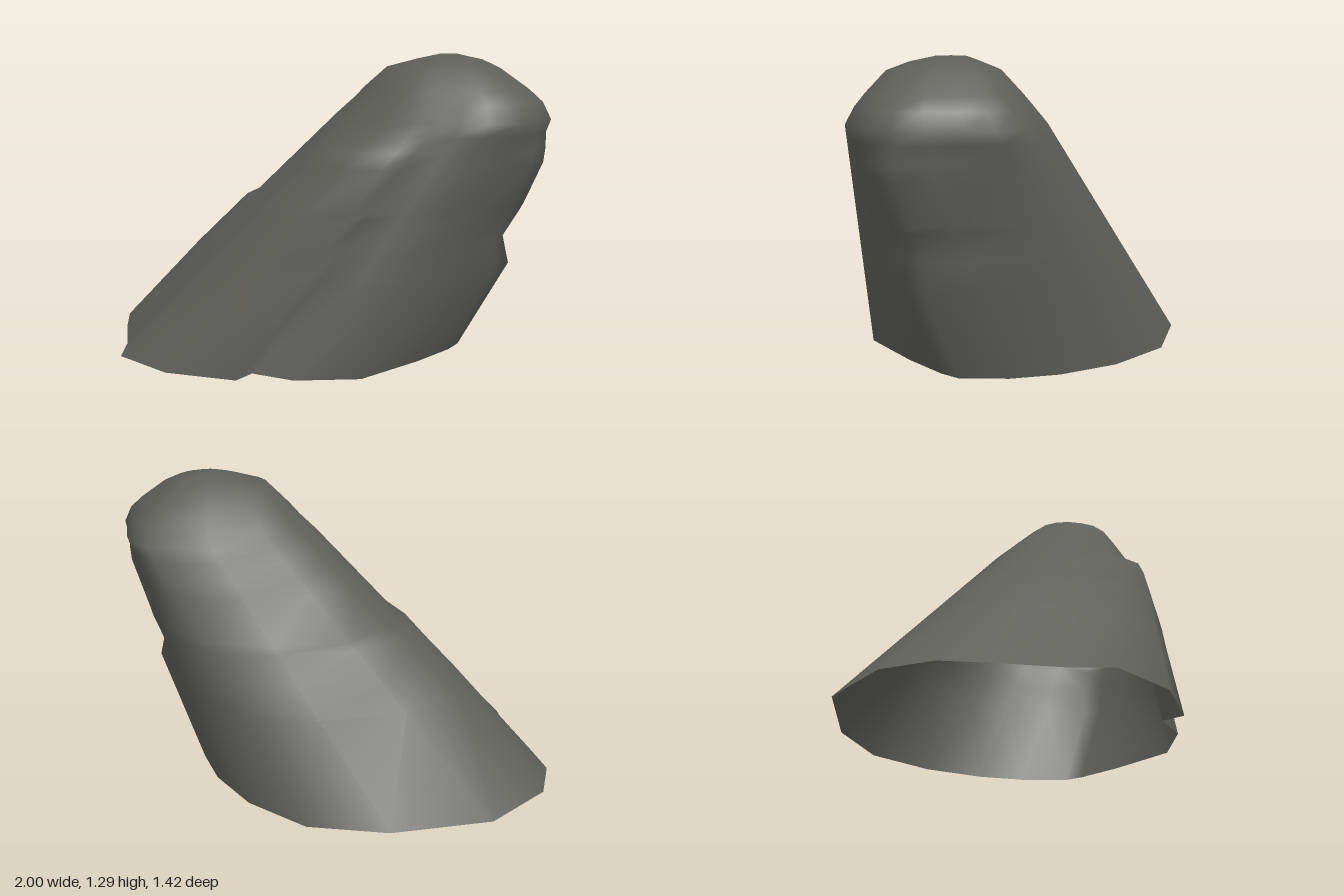
import * as THREE from 'three';

// Outline at ground level, [x, z], from the -x end round by the front
const base = [
  [-1, 0.05], [-0.91, 0.22], [-0.77, 0.45], [-0.71, 0.6], [-0.43, 0.71], [-0.12, 0.69],
  [-0.09, 0.595], [0.1, 0.61], [0.35, 0.5], [0.51, 0.22], [0.6, 0.02], [0.62, -0.07],
  [0.54, -0.26], [0.41, -0.43], [0.2, -0.6], [-0.09, -0.715], [-0.43, -0.67],
  [-0.82, -0.47], [-1, -0.17],
];
// Outline at the shoulder, where the overhang reaches furthest
const shoulder = [
  [0.07, 0], [0.1, 0.1], [0.17, 0.2], [0.26, 0.28], [0.4, 0.33], [0.52, 0.335],
  [0.6, 0.33], [0.7, 0.33], [0.8, 0.32], [0.92, 0.21], [0.97, 0.12], [1, 0],
  [0.94, -0.1], [0.87, -0.24], [0.8, -0.33], [0.7, -0.4], [0.42, -0.37],
  [0.18, -0.25], [0.08, -0.1],
];
const SHOULDER_Y = 1.03;

// Small pushes on the leaning body: height -> { point index: [dx, dz] }.
// 3 to 5 are the front slab, 6 the groove, 10 to 12 the overhanging end, 0, 1 and 18 the low slab.
const body = [
  [0, {}],
  [0.4, {
    0: [-0.03, 0], 1: [-0.02, 0.01], 18: [-0.03, 0], 3: [0, 0.025], 4: [0, 0.03], 5: [0, 0.025],
    6: [0, -0.015], 9: [0.03, 0], 10: [0.06, 0], 11: [0.07, 0], 12: [0.04, 0],
  }],
  [0.52, {
    0: [-0.03, 0], 1: [-0.02, 0.01], 18: [-0.03, 0], 3: [0, 0.035], 4: [0, 0.042], 5: [0, 0.035],
    6: [0, -0.02], 10: [0.01, 0],
  }],
  [0.64, {
    0: [-0.03, 0], 1: [-0.02, 0.02], 18: [-0.02, 0], 3: [0, 0.045], 4: [0, 0.053], 5: [0, 0.04],
    6: [0, -0.015], 10: [0.02, 0], 11: [0.025, 0], 12: [0.02, 0],
  }],
  [0.67, { 3: [0, 0.045], 4: [0, 0.055], 5: [0, 0.04], 10: [0.025, 0], 11: [0.03, 0], 12: [0.02, 0] }],
  [0.85, { 3: [0, 0.05], 4: [0, 0.065], 5: [0, 0.045], 10: [0.04, 0], 11: [0.04, 0], 12: [0.03, 0] }],
  [0.91, { 3: [0, 0.04], 4: [-0.03, 0.06], 5: [0, 0.03], 10: [0.025, 0], 11: [0.025, 0] }],
  [0.98, {}],
  [SHOULDER_Y, {}],
];
// Rounded crown: y, min x, max x, min z, max z
const crown = [
  [1.1, 0.15, 0.965, -0.35, 0.295],
  [1.15, 0.2, 0.91, -0.305, 0.265],
  [1.235, 0.3, 0.79, -0.22, 0.21],
  [1.27, 0.43, 0.71, -0.15, 0.12],
  [1.29, 0.52, 0.6, -0.09, 0.04],
];

function makeRock() {
  const rings = body.map(([y, push]) => base.map(([x, z], i) => {
    const t = y / SHOULDER_Y;
    const [dx, dz] = push[i] || [0, 0];
    return [x + (shoulder[i][0] - x) * t + dx, y, z + (shoulder[i][1] - z) * t + dz];
  }));
  for (const [y, x0, x1, z0, z1] of crown) {
    rings.push(shoulder.map(([x, z]) => [
      x0 + (x1 - x0) * (x - 0.07) / 0.93, y, z0 + (z1 - z0) * (z + 0.4) / 0.735,
    ]));
  }
  const n = base.length;
  const positions = rings.flat(2);
  positions.push(0.56, 1.292, -0.02);

  // Walls between rings, then a fan over the top; the underside stays open
  const index = [];
  for (let r = 0; r < rings.length; r++) {
    for (let i = 0; i < n; i++) {
      const a = r * n + i;
      const b = r * n + (i + 1) % n;
      if (r === rings.length - 1) index.push(a, b, rings.length * n);
      else index.push(a, b, b + n, a, b + n, a + n);
    }
  }
  const geometry = new THREE.BufferGeometry();
  geometry.setAttribute('position', new THREE.Float32BufferAttribute(positions, 3));
  geometry.setIndex(index);
  geometry.computeVertexNormals();
  return geometry;
}

export function createModel() {
  const stone = new THREE.MeshStandardMaterial({ color: 0x5e5f57, side: THREE.DoubleSide });
  stone.name = 'dark grey stone';
  const group = new THREE.Group();
  group.name = 'leaningRock';
  const rock = new THREE.Mesh(makeRock(), stone);
  rock.name = 'boulder';
  group.add(rock);
  return group;
}
